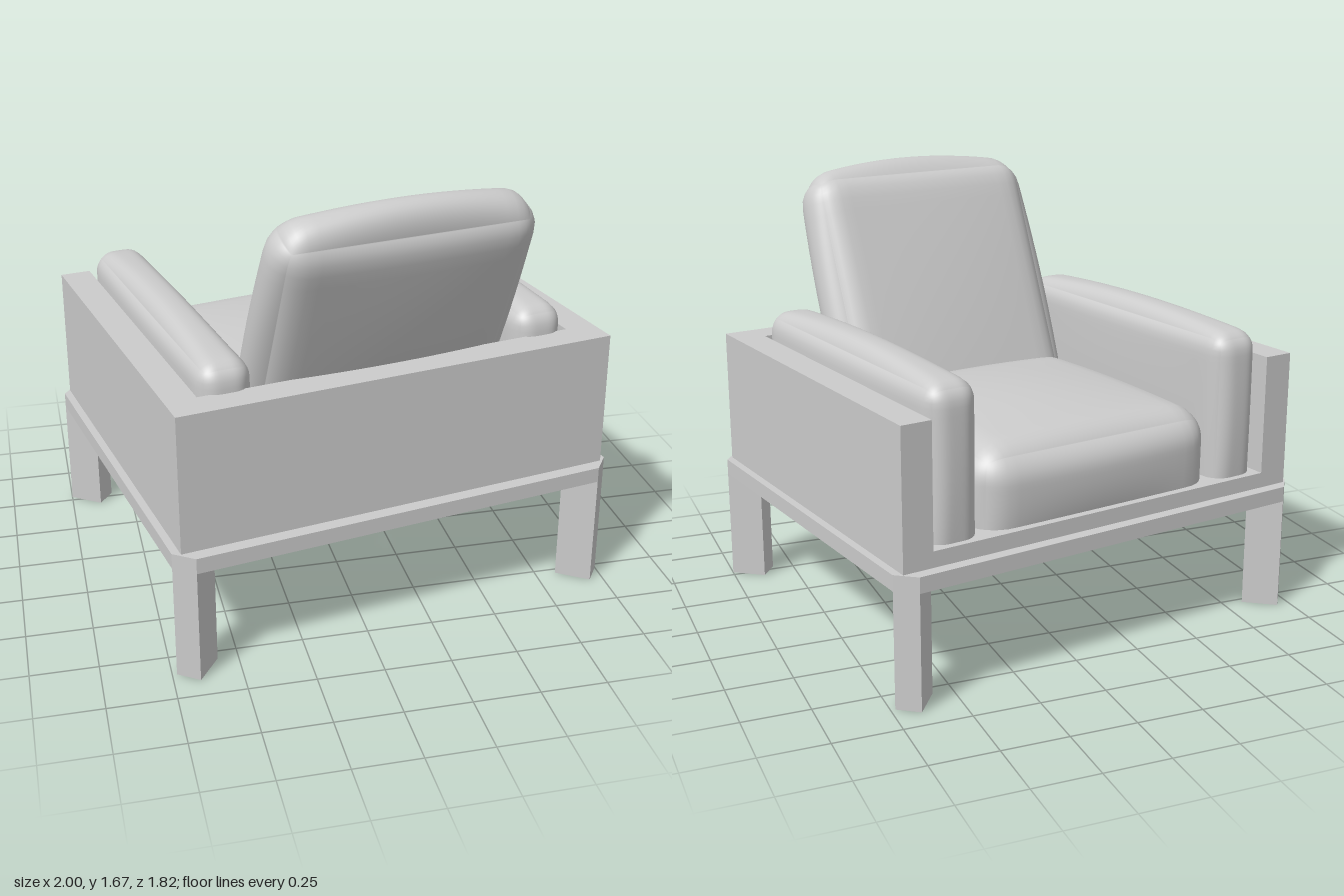
import * as THREE from 'three';
import { mergeVertices } from 'three/addons/utils/BufferGeometryUtils.js';

const material = new THREE.MeshStandardMaterial({ color: 0xcccccc });
const shellMaterial = new THREE.MeshStandardMaterial({ color: 0xcccccc, side: THREE.DoubleSide });

function mesh(name, geometry, x = 0, y = 0, z = 0, mat = material) {
  const m = new THREE.Mesh(geometry, mat);
  m.name = name;
  m.position.set(x, y, z);
  return m;
}

// Flat plan outline raised to a given height
function slab(shape, height) {
  return new THREE.ExtrudeGeometry(shape, { depth: height, bevelEnabled: false }).rotateX(-Math.PI / 2);
}

// Rounded block whose faces swell outward by the dome amounts;
// an open one has straight lower sides and no underside
function cushion(size, radius, dome, open) {
  let g = new THREE.BoxGeometry(2, 2, 2, 24, 24, 24);
  if (open) {
    const { start, count } = g.groups[3];
    const index = Array.from(g.index.array);
    index.splice(start, count);
    g.setIndex(index);
  }
  g.clearGroups();
  g.deleteAttribute('uv');
  g.deleteAttribute('normal');
  g = mergeVertices(g);
  const half = new THREE.Vector3(...size).multiplyScalar(0.5);
  const core = half.clone().subScalar(radius);
  const low = core.clone().negate();
  if (open) low.y = -half.y;
  const p = new THREE.Vector3(), q = new THREE.Vector3(), inner = new THREE.Vector3();
  const pos = g.attributes.position;
  // Crowd the rows toward the rounded edges
  const spread = (t) => Math.sin(t * Math.PI / 2);
  for (let i = 0; i < pos.count; i++) {
    p.fromBufferAttribute(pos, i);
    p.set(spread(p.x), spread(p.y), spread(p.z));
    q.copy(p).multiply(half);
    inner.copy(q).clamp(low, core);
    q.sub(inner).setLength(radius).add(inner);
    const a = 1 - p.x * p.x, b = 1 - p.y * p.y, c = 1 - p.z * p.z;
    q.x += dome[0] * p.x * b * c;
    q.y += dome[1] * Math.max(p.y, open ? 0 : -1) * a * c;
    q.z += dome[2] * p.z * a * b;
    pos.setXYZ(i, q.x, q.y, q.z);
  }
  g.computeVertexNormals();
  return g;
}

const points = (list) => list.map(([x, y]) => new THREE.Vector2(x, y));

export function createModel() {
  const model = new THREE.Group();
  const chair = new THREE.Group();
  chair.name = 'armchair';
  chair.rotation.y = 0.19;
  model.add(chair);

  // Base rail: rectangle with cut corners, open in the middle
  const X = 0.882, Z = 0.772, C = 0.067;
  const rail = new THREE.Shape(points([
    [X, -Z + C], [X, Z - C], [X - C, Z], [-X + C, Z],
    [-X, Z - C], [-X, -Z + C], [-X + C, -Z], [X - C, -Z],
  ]));
  rail.holes.push(new THREE.Path(points([[0.8, -0.69], [-0.8, -0.69], [-0.8, 0.69], [0.8, 0.69]])));
  chair.add(mesh('baseRail', slab(rail, 0.06), 0, 0.44, 0));

  // Legs set diagonally at the cut corners
  for (const sx of [-1, 1]) {
    for (const sz of [-1, 1]) {
      const leg = mesh('leg', new THREE.BoxGeometry(0.095, 0.44, 0.14), sx * 0.799, 0.22, sz * 0.689);
      leg.rotation.y = Math.atan2(sx, sz);
      chair.add(leg);
    }
  }

  // Side and back walls as one U (plan y is the negative of z)
  const walls = new THREE.Shape(points([
    [-0.853, -0.722], [0.853, -0.722], [0.853, 0.727], [0.735, 0.727],
    [0.735, -0.602], [-0.735, -0.602], [-0.735, 0.727], [-0.853, 0.727],
  ]));
  chair.add(mesh('walls', slab(walls, 0.525), 0, 0.5, 0));

  // Low board across the open side
  chair.add(mesh('frontBoard', new THREE.BoxGeometry(1.47, 0.06, 0.12), 0, 0.53, -0.667));

  // Arm and seat cushions, open underneath
  for (const s of [-1, 1]) {
    const arm = cushion([0.205, 0.575, 1.31], 0.075, [0.01, 0.03, 0.01], true);
    chair.add(mesh('armCushion', arm, s * 0.624, 0.8375, -0.045, shellMaterial));
  }
  const seat = cushion([1.04, 0.3, 1.05], 0.13, [0.015, 0.045, 0.02], true);
  chair.add(mesh('seatCushion', seat, 0, 0.7, -0.17, shellMaterial));

  // Leaning back cushion
  const back = mesh('backCushion', cushion([0.99, 1.17, 0.23], 0.11, [0.03, 0.055, 0.025]), 0, 1.08, 0.49);
  back.rotation.x = 0.4;
  chair.add(back);

  return model;
}
